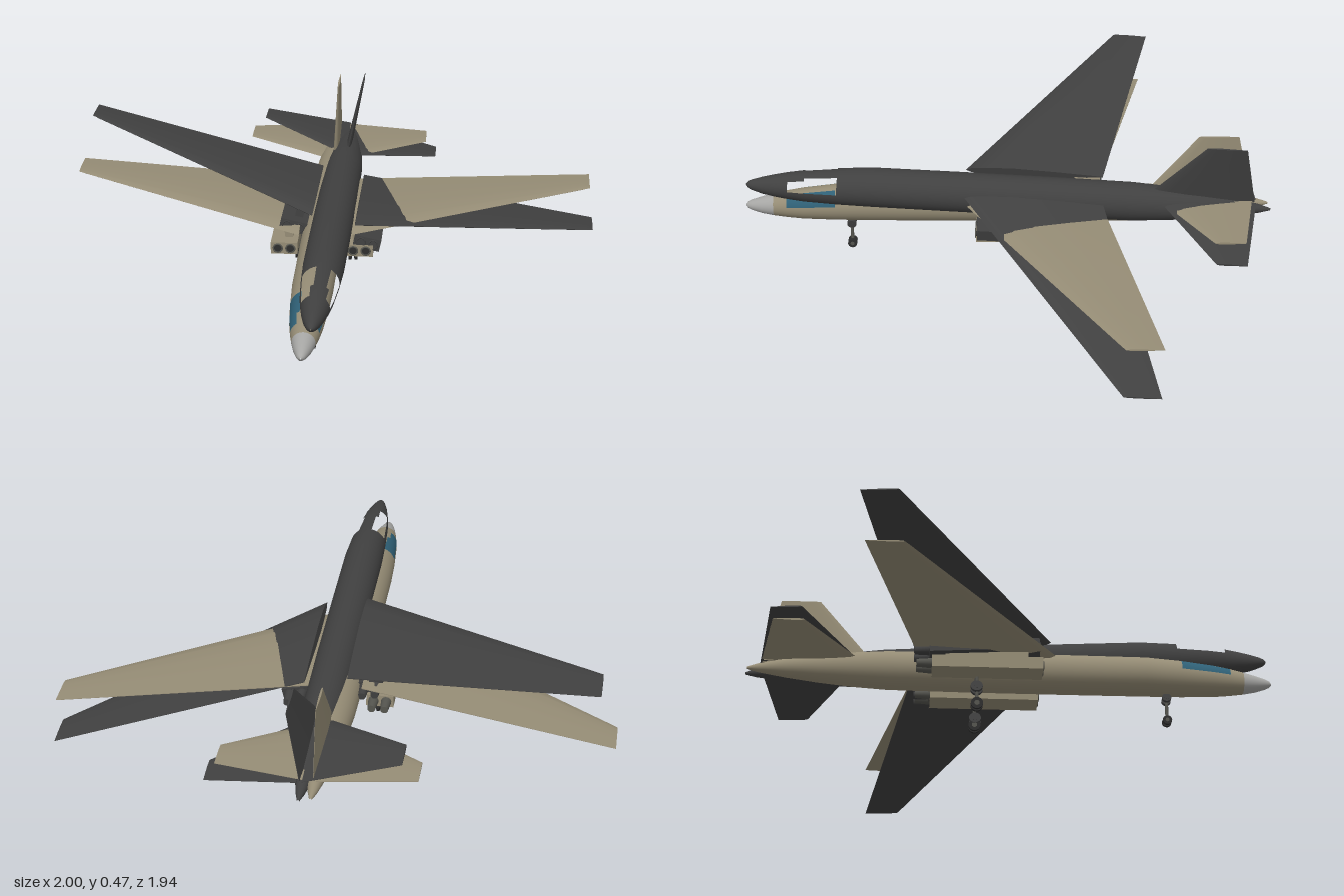
import * as THREE from 'three';
import { toCreasedNormals } from 'three/addons/utils/BufferGeometryUtils.js';

const mat = (name, color) => Object.assign(new THREE.MeshStandardMaterial({ color }), { name });

// Closed skin over rings of [x, y, z] points, with flat end caps, turned outward.
function loft(rings) {
  const n = rings[0].length, last = (rings.length - 1) * n;
  const pos = rings.flat(2), idx = [];
  for (let i = 0; i < rings.length - 1; i++) for (let j = 0; j < n; j++) {
    const a = i * n + j, b = i * n + (j + 1) % n;
    idx.push(a, b, a + n, b, b + n, a + n);
  }
  for (let j = 1; j < n - 1; j++) idx.push(0, j + 1, j, last, last + j, last + j + 1);
  const v = k => new THREE.Vector3().fromArray(pos, k * 3);
  let volume = 0;
  for (let k = 0; k < idx.length; k += 3) volume += v(idx[k]).dot(v(idx[k + 1]).cross(v(idx[k + 2])));
  if (volume < 0) idx.reverse();
  const geo = new THREE.BufferGeometry();
  geo.setAttribute('position', new THREE.Float32BufferAttribute(pos, 3));
  geo.setIndex(idx);
  return toCreasedNormals(geo, 0.6);
}

// Airfoil as [share of chord, share of thickness]
const FOIL = [[0, 0], [0.04, 0.26], [0.15, 0.42], [0.35, 0.5], [0.65, 0.33], [1, 0.04],
  [1, -0.04], [0.65, -0.33], [0.35, -0.5], [0.15, -0.42], [0.04, -0.26]];

// Sections are [span, leading z, trailing z, height, thickness]
const panel = (side, sections) => loft(sections.map(([s, z0, z1, y, t]) =>
  FOIL.map(([c, h]) => [side * s, y + h * t, z0 + (z1 - z0) * c])));

// Fuselage stations: [z, radius, centre height]
const HULL = [[0.966, 0.002, -0.019], [0.958, 0.012, -0.019], [0.94, 0.02, -0.019], [0.905, 0.031, -0.019],
  [0.86, 0.041, -0.017], [0.81, 0.05, -0.014], [0.75, 0.058, -0.011], [0.63, 0.067, -0.005],
  [0.5, 0.0725, 0], [0.2, 0.0735, 0], [-0.15, 0.0735, 0], [-0.45, 0.071, 0], [-0.58, 0.063, 0],
  [-0.7, 0.051, 0], [-0.82, 0.035, 0], [-0.92, 0.016, -0.002], [-0.962, 0.004, -0.003]];

// Round hull with nose, skin and window faces in groups; windows may be left open.
function hullGeometry(open) {
  const n = 32, pos = [], faces = [[], [], []];
  for (const [z, r, y] of HULL) for (let j = 0; j < n; j++) {
    const a = j / n * Math.PI * 2;
    pos.push(r * Math.sin(a), y + r * Math.cos(a), z);
  }
  for (let i = 0; i < HULL.length - 1; i++) for (let j = 0; j < n; j++) {
    const k = Math.min(j, n - 1 - j);
    const glass = (i === 6 && k >= 2 && k < 7) || (i === 5 && k >= 3 && k < 7);
    const a = i * n + j, b = i * n + (j + 1) % n;
    faces[glass ? 2 : i < 4 ? 0 : 1].push(a, b, a + n, b, b + n, a + n);
  }
  const geo = new THREE.BufferGeometry();
  geo.setAttribute('position', new THREE.Float32BufferAttribute(pos, 3));
  geo.setIndex(faces.flat());
  geo.computeVertexNormals();
  if (open) geo.setIndex([...faces[0], ...faces[1]]);
  let start = 0;
  faces.slice(0, open ? 2 : 3).forEach((f, m) => { geo.addGroup(start, f.length, m); start += f.length; });
  return geo;
}

function aircraft(name, m, open) {
  const g = new THREE.Group();
  g.name = name;
  const add = (part, geo, material, x = 0, y = 0, z = 0, parent = g) => {
    const mesh = new THREE.Mesh(geo, material);
    mesh.name = part;
    mesh.position.set(x, y, z);
    parent.add(mesh);
    return mesh;
  };
  add('fuselage', hullGeometry(open), [m.nose, m.skin, m.glass]);

  // Upright tail fin
  add('tailFin', loft([[0.03, -0.5, -0.9, 0.022], [0.272, -0.7, -0.845, 0.008]].map(([y, z0, z1, t]) =>
    FOIL.map(([c, h]) => [h * t, y, z0 + (z1 - z0) * c]))), m.skin);

  // Landing leg with a pair of wheels
  const leg = (part, x, z, top, r) => {
    const gear = new THREE.Group();
    gear.name = part;
    g.add(gear);
    const wheelY = -0.193 + r;
    add('strut', new THREE.CylinderGeometry(0.006, 0.006, top - wheelY, 10), m.gear, x, (top + wheelY) / 2, z, gear);
    const disc = new THREE.CylinderGeometry(r, r, 0.011, 20).rotateZ(Math.PI / 2);
    const hub = new THREE.CylinderGeometry(r * 0.45, r * 0.45, 0.013, 12).rotateZ(Math.PI / 2);
    for (const s of [-1, 1]) {
      add('wheel', disc, m.tyre, x + s * 0.011, wheelY, z, gear);
      add('hub', hub, m.gear, x + s * 0.011, wheelY, z, gear);
    }
  };
  leg('noseGear', 0, 0.575, -0.05, 0.017);

  for (const side of [-1, 1]) {
    const label = side > 0 ? 'left' : 'right';
    add(label + 'Wing', panel(side, [[0.079, 0.163, -0.342, 0.04, 0.036],
      [0.96, -0.382, -0.524, 0.008, 0.012], [0.988, -0.4, -0.53, 0.007, 0.006]]), m.skin);
    add(label + 'Tailplane', panel(side, [[0.01, -0.54, -0.905, 0.03, 0.022],
      [0.347, -0.742, -0.853, 0.03, 0.008]]), m.skin);

    // Twin engine pod hung under the wing
    add(label + 'EnginePod', new THREE.BoxGeometry(0.098, 0.045, 0.4), m.skin, side * 0.138, -0.041, -0.09);
    add(label + 'Pylon', new THREE.BoxGeometry(0.03, 0.055, 0.3), m.skin, side * 0.125, 0.004, -0.09);
    for (const x of [0.115, 0.161]) {
      add(label + 'Intake', new THREE.TorusGeometry(0.016, 0.003, 8, 20), m.gear, side * x, -0.041, 0.111);
      add(label + 'IntakeFace', new THREE.CircleGeometry(0.014, 20), m.tyre, side * x, -0.041, 0.112);
      add(label + 'Nozzle', new THREE.CylinderGeometry(0.019, 0.014, 0.06, 20).rotateX(Math.PI / 2), m.gear,
        side * x, -0.041, -0.315);
    }
    leg(label + 'MainGear', side * 0.1, -0.125, -0.05, 0.022);
  }
  return g;
}

export function createModel() {
  const tan = mat('tanSkin', 0x958c75), dark = mat('charcoalSkin', 0x404040);
  const gear = mat('gearGrey', 0x55554f), tyre = mat('tyreBlack', 0x2e2e2e);
  const nose = mat('noseGrey', 0xa6a6a4), glass = mat('windowBlue', 0x2f6076);
  const model = new THREE.Group();
  model.name = 'aircraftPair';

  // Level aircraft standing on its wheels
  const level = aircraft('levelAircraft', { skin: tan, nose, glass, gear, tyre }, false);
  level.position.set(-0.0125, 0.193, 0);

  // Banked, slightly climbing shell with open windows
  const banked = aircraft('bankedAircraft', { skin: dark, nose: dark, glass: dark, gear: dark, tyre: dark }, true);
  banked.position.set(0.026, 0.243, -0.009);
  banked.rotation.set(-0.057, -0.002, -0.206);

  model.add(level, banked);
  return model;
}
